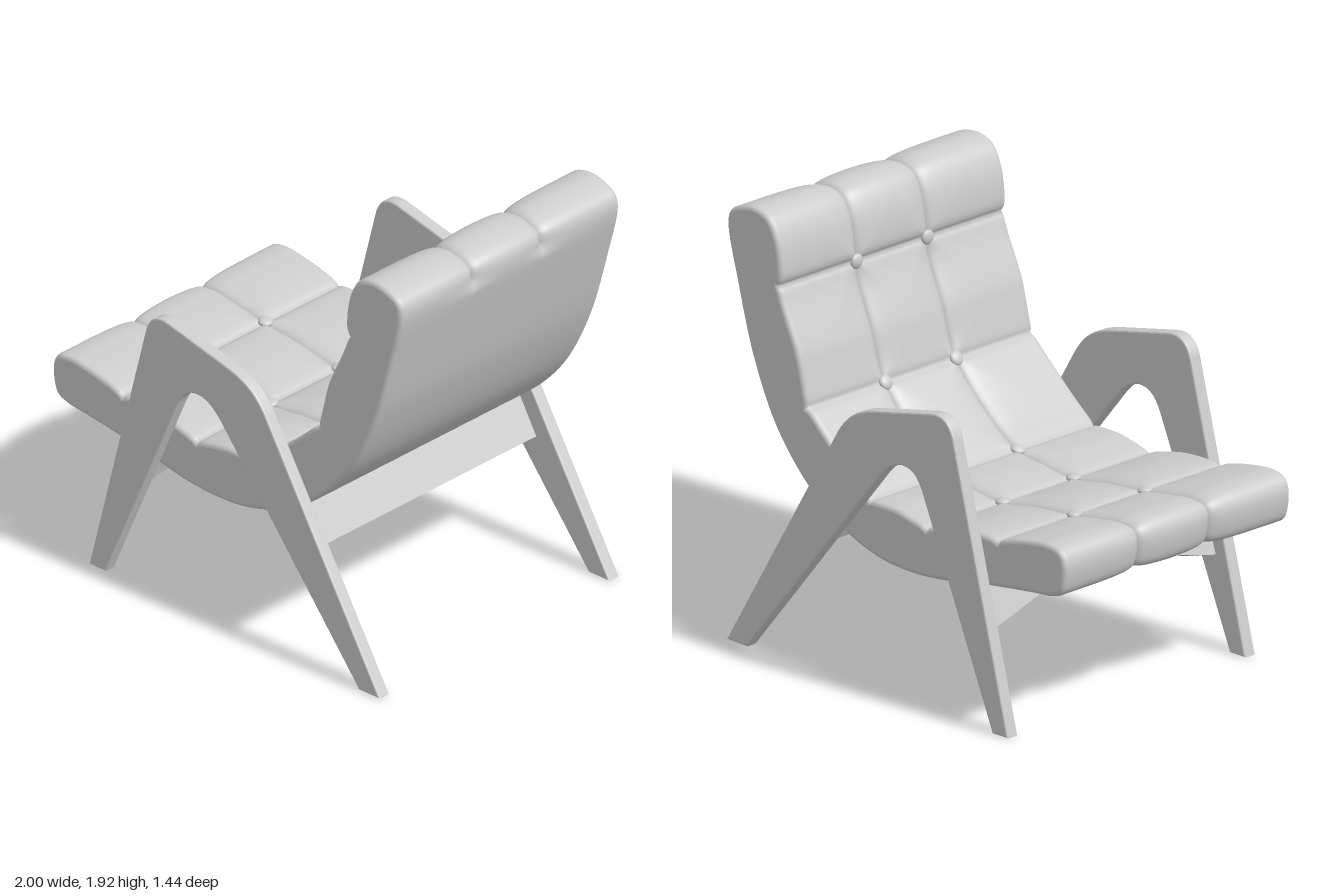
import * as THREE from 'three';

const material = new THREE.MeshStandardMaterial({ color: 0xcccccc, roughness: 0.8 });
const HALF = 0.655; // half width of the cushion
const SEAM_Z = 0.205;
const V2 = (p) => new THREE.Vector2(p[0], p[1]);

function part(name, geometry) {
  const mesh = new THREE.Mesh(geometry, material);
  mesh.name = name;
  return mesh;
}

// Side profile of the cushion: front nose, seat, backrest, head, back, underside
const PROFILE = [
  [-0.8, 0.645], [-0.92, 0.66], [-0.975, 0.685], [-0.998, 0.75], [-0.998, 0.83], [-0.97, 0.873],
  [-0.9, 0.888], [-0.78, 0.875], [-0.6, 0.845], [-0.4, 0.825], [-0.18, 0.79], [0, 0.808],
  [0.15, 0.83], [0.33, 0.95], [0.5, 1.13], [0.575, 1.34], [0.66, 1.55], [0.667, 1.66],
  [0.7, 1.81], [0.75, 1.888], [0.83, 1.915], [0.92, 1.9], [0.98, 1.865], [0.996, 1.81],
  [0.935, 1.55], [0.84, 1.24], [0.7, 0.965], [0.5, 0.75], [0.3, 0.625], [0.1, 0.56],
  [-0.08, 0.545], [-0.25, 0.557], [-0.5, 0.603],
];
// Points on the upper surface where the cross seams and buttons sit
const CROSS_SEAMS = [[-0.595, 0.845], [-0.18, 0.79], [0.15, 0.83], [0.5, 1.13], [0.663, 1.6]];

// Evenly spaced samples of the profile with outward normals
function sampleProfile(count) {
  const curve = new THREE.CatmullRomCurve3(PROFILE.map(([x, y]) => new THREE.Vector3(x, y, 0)), true);
  curve.arcLengthDivisions = 1500;
  const length = curve.getLength();
  const samples = [];
  for (let i = 0; i < count; i++) {
    const p = curve.getPointAt(i / count);
    const t = curve.getTangentAt(i / count);
    samples.push({ x: p.x, y: p.y, nx: -t.y, ny: t.x, s: (i / count) * length });
  }
  return samples;
}

function nearest(samples, [x, y]) {
  const d = (p) => Math.hypot(p.x - x, p.y - y);
  return samples.reduce((a, b) => (d(b) < d(a) ? b : a));
}

// Sharp crease with a soft, padded shoulder
const crease = (d) => 0.013 * Math.exp(-d / 0.012) + 0.02 * Math.exp(-d / 0.07);

function buildCushion() {
  const group = new THREE.Group();
  group.name = 'cushion';
  const samples = sampleProfile(400);
  const seams = CROSS_SEAMS.map((p) => nearest(samples, p));
  const seamEnd = nearest(samples, [0.98, 1.74]).s;

  // Stations across the width, denser at the seams and the rounded edges
  const bounds = [-HALF, -SEAM_Z, SEAM_Z, HALF];
  const stations = [];
  const r = 0.02;
  for (let k = 0; k < 3; k++) {
    const n = 24;
    for (let i = k ? 1 : 0; i <= n; i++) {
      const t = (1 - Math.cos((Math.PI * i) / n)) / 2;
      stations.push(bounds[k] + (bounds[k + 1] - bounds[k]) * t);
    }
  }

  const depth = (p, z) => {
    let d = 0;
    for (const q of seams) d = Math.max(d, crease(Math.abs(p.s - q.s)));
    const fade = THREE.MathUtils.smoothstep(seamEnd - p.s, 0, 0.06);
    d = Math.max(d, fade * crease(Math.abs(Math.abs(z) - SEAM_Z)));
    const e = Math.max(0, r - (HALF - Math.abs(z)));
    return d + r - Math.sqrt(Math.max(0, r * r - e * e));
  };

  const positions = [];
  const index = [];
  const n = samples.length;
  stations.forEach((z, j) => {
    samples.forEach((p, i) => {
      const d = depth(p, z);
      positions.push(p.x - p.nx * d, p.y - p.ny * d, z);
      if (j === stations.length - 1) return;
      const a = j * n + i;
      const b = j * n + ((i + 1) % n);
      index.push(a, a + n, b, b, a + n, b + n);
    });
  });
  const padding = new THREE.BufferGeometry();
  padding.setAttribute('position', new THREE.Float32BufferAttribute(positions, 3));
  padding.setIndex(index);
  padding.computeVertexNormals();
  group.add(part('tuftedPadding', padding));

  // Flat side panels
  const outline = samples.map((p) => {
    const d = depth(p, HALF);
    return new THREE.Vector2(p.x - p.nx * d, p.y - p.ny * d);
  });
  for (const side of [1, -1]) {
    const panel = part(side > 0 ? 'leftSidePanel' : 'rightSidePanel', new THREE.ShapeGeometry(new THREE.Shape(outline)));
    if (side < 0) panel.geometry.index.array.reverse();
    if (side < 0) panel.geometry.attributes.normal.array.forEach((v, i, arr) => { arr[i] = -v; });
    panel.position.z = side * HALF;
    group.add(panel);
  }

  // Buttons where the seams cross
  for (const q of seams) {
    for (const z of [-SEAM_Z, SEAM_Z]) {
      const button = part('button', new THREE.SphereGeometry(0.033, 20, 12));
      button.scale.y = 0.5;
      button.position.set(q.x - q.nx * 0.02, q.y - q.ny * 0.02, z);
      button.rotation.z = Math.atan2(-q.nx, q.ny);
      group.add(button);
    }
  }
  return group;
}

// One side frame: front leg, armrest and rear leg cut from a single board
function buildSideFrame(side) {
  const bevel = 0.008;
  const s = new THREE.Shape();
  s.moveTo(-0.72, 0.008);
  s.lineTo(-0.398, 1.235);
  s.bezierCurveTo(-0.38, 1.29, -0.345, 1.32, -0.28, 1.308);
  s.lineTo(0.04, 1.235);
  s.bezierCurveTo(0.15, 1.21, 0.21, 1.18, 0.27, 1.09);
  s.lineTo(0.922, 0.008);
  s.lineTo(0.817, 0.008);
  s.lineTo(0.04, 0.955);
  s.bezierCurveTo(-0.02, 1.03, -0.065, 1.047, -0.11, 1.048);
  s.bezierCurveTo(-0.165, 1.047, -0.2, 1.02, -0.232, 0.95);
  s.lineTo(-0.642, 0.008);
  s.closePath();
  const geometry = new THREE.ExtrudeGeometry(s, {
    depth: 0.06 - 2 * bevel, bevelThickness: bevel, bevelSize: bevel, bevelSegments: 2, curveSegments: 16,
  });
  geometry.translate(0, 0, -0.03 + bevel);
  const frame = part(side > 0 ? 'leftSideFrame' : 'rightSideFrame', geometry);
  frame.position.z = side * 0.688;
  return frame;
}

// Board running between the side frames, leaning with the legs
function buildRail(name, shape, x, y, lean) {
  const geometry = new THREE.ExtrudeGeometry(shape, { depth: 0.035, bevelEnabled: false, curveSegments: 24 });
  geometry.translate(0, 0, -0.0175).rotateY(Math.PI / 2);
  const rail = part(name, geometry);
  rail.position.set(x, y, 0);
  rail.rotation.z = lean;
  return rail;
}

export function createModel() {
  const chair = new THREE.Group();
  chair.name = 'loungeChair';
  chair.add(buildCushion(), buildSideFrame(1), buildSideFrame(-1));

  const w = 0.662;
  const rear = new THREE.Shape([[-w, 0], [w, 0], [w, 0.22], [-w, 0.22]].map(V2));
  chair.add(buildRail('rearRail', rear, 0.5, 0.52, 0.53));

  // Front apron with an arched lower edge
  const apron = new THREE.Shape();
  apron.moveTo(-w, 0);
  apron.bezierCurveTo(-0.42, 0.045, -0.3, 0.122, 0, 0.122);
  apron.bezierCurveTo(0.3, 0.122, 0.42, 0.045, w, 0);
  apron.lineTo(w, 0.25);
  apron.lineTo(-w, 0.25);
  apron.closePath();
  chair.add(buildRail('frontApron', apron, -0.54, 0.405, -0.33));
  return chair;
}
